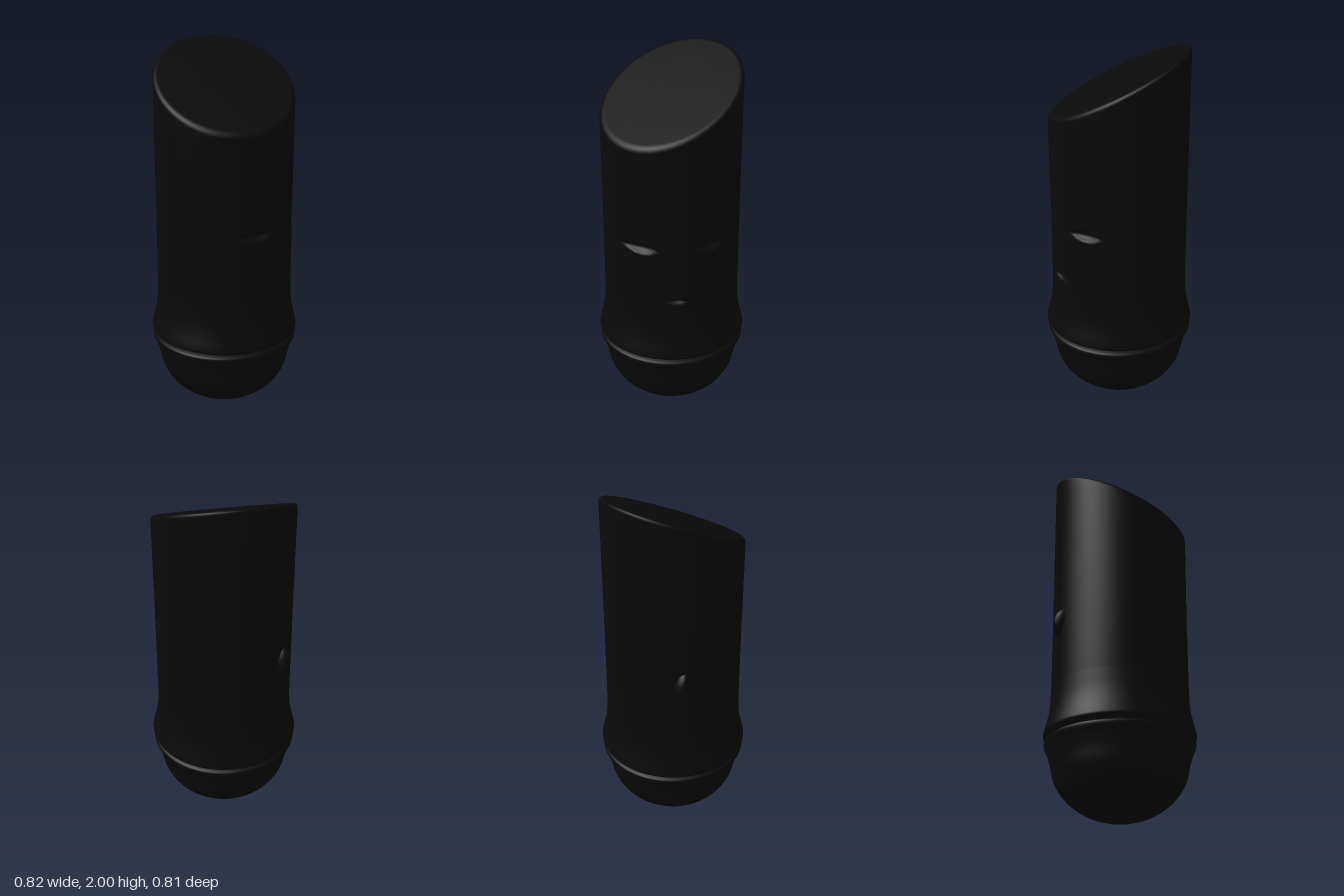
import * as THREE from 'three';
import { mergeVertices } from 'three/addons/utils/BufferGeometryUtils.js';

const black = new THREE.MeshStandardMaterial({ color: 0x0a0a0a });
black.name = 'black';

const SEGMENTS = 128;
const CUT_START = 1.2; // wall below this height stays level

// height of the slanted cut, highest towards -x and -z
const cutHeight = (x, z) => 1.825 - 0.355 * (x + z);

// spindle-shaped slits on the +x wall
const slits = [
  { z: 0.21, y: 1.083, half: 0.085, height: 0.032, depth: 0.03 },
  { z: -0.155, y: 1.083, half: 0.085, height: 0.03, depth: 0.03 },
  { z: 0.03, y: 0.78, half: 0.065, height: 0.017, depth: 0.018 },
];

function slitDepth(x, y, z) {
  if (x <= 0) return 0;
  let depth = 0;
  for (const s of slits) {
    const h = s.height * (1 - ((z - s.z) / s.half) ** 2);
    if (h <= 0 || Math.abs(y - s.y) >= h) continue;
    depth = Math.max(depth, s.depth * (h / s.height) * (1 - ((y - s.y) / h) ** 2));
  }
  return depth;
}

// smooth lathe without a seam, with an optional rule that moves its vertices
function turned(name, points, rule) {
  let geometry = new THREE.LatheGeometry(points, SEGMENTS);
  const pos = geometry.attributes.position;
  const v = new THREE.Vector3();
  if (rule) {
    for (let i = 0; i < pos.count; i++) {
      rule(v.fromBufferAttribute(pos, i));
      pos.setXYZ(i, v.x, v.y, v.z);
    }
  }
  geometry.deleteAttribute('normal');
  geometry.deleteAttribute('uv');
  geometry = mergeVertices(geometry, 1e-5);
  geometry.computeVertexNormals();
  const mesh = new THREE.Mesh(geometry, black);
  mesh.name = name;
  return mesh;
}

const toPoints = (list) => list.map(([r, y]) => new THREE.Vector2(r, y));

function createBase() {
  // rounded bottom with a swollen rim
  const curve = new THREE.SplineCurve(toPoints([
    [0, 0], [0.1, 0.007], [0.2, 0.045], [0.29, 0.115], [0.345, 0.2],
    [0.367, 0.29], [0.385, 0.35], [0.4, 0.385], [0.398, 0.405], [0.375, 0.417],
  ]));
  const points = curve.getPoints(45);
  points[0].set(0, 0);
  points.push(new THREE.Vector2(0.34, 0.419));
  return turned('base', points);
}

function createStalk() {
  // flared foot
  const foot = new THREE.SplineCurve(toPoints([
    [0.365, 0.421], [0.388, 0.425], [0.405, 0.437], [0.402, 0.465],
    [0.386, 0.53], [0.375, 0.6], [0.37, 0.7],
  ])).getPoints(30);
  // straight wall, with fine rows for the slits
  const wall = [];
  for (let y = 0.706; y < CUT_START; y += 0.006) wall.push([0.37, y]);
  // above CUT_START, y runs from CUT_START to 2 and is mapped onto the cut
  for (let i = 0; i <= 10; i++) wall.push([0.37 + 0.0003 * i, CUT_START + 0.08 * i]);
  // rounded edge of the cut, then the flat cut face
  const bevel = 0.024;
  for (let i = 1; i <= 5; i++) {
    const a = (i / 5) * Math.PI / 2;
    wall.push([0.373 - bevel * (1 - Math.cos(a)), 2 + bevel * Math.sin(a)]);
  }
  for (const r of [0.342, 0.25, 0.12, 0]) wall.push([r, 2 + bevel]);

  return turned('stalk', [...foot, ...toPoints(wall)], (v) => {
    if (v.y > CUT_START) {
      const t = Math.min(1, (v.y - CUT_START) / (2 - CUT_START));
      const over = Math.max(0, v.y - 2);
      v.y = CUT_START + t * (cutHeight(v.x, v.z) - bevel - CUT_START) + over;
    } else {
      const r = Math.hypot(v.x, v.z);
      const k = 1 - slitDepth(v.x, v.y, v.z) / r;
      v.x *= k;
      v.z *= k;
    }
  });
}

function createBud() {
  // small pointed bud on the -x wall
  const geometry = new THREE.SphereGeometry(1, 24, 16);
  geometry.scale(0.055, 0.075, 0.04);
  const bud = new THREE.Mesh(geometry, black);
  bud.name = 'bud';
  bud.position.set(-0.356, 1.035, 0.01);
  bud.rotation.set(0.3, 0, -0.15);
  return bud;
}

export function createModel() {
  const model = new THREE.Group();
  model.name = 'cutStalk';
  model.add(createBase(), createStalk(), createBud());
  return model;
}
